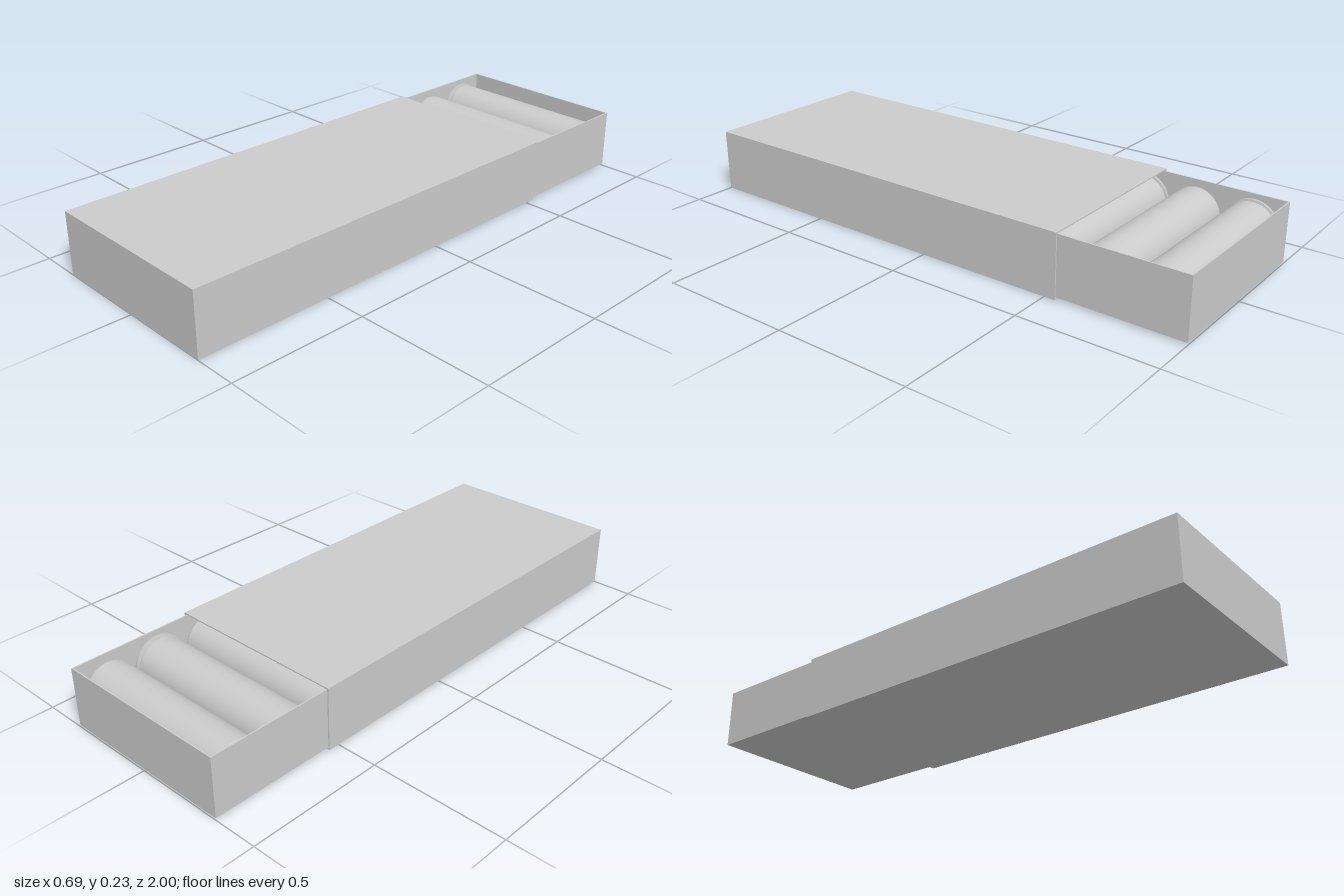
import * as THREE from 'three';

const material = new THREE.MeshStandardMaterial({ color: 0xcccccc, side: THREE.DoubleSide });

// Box given by its minimum and maximum corners
function slab(name, x0, x1, y0, y1, z0, z1) {
  const mesh = new THREE.Mesh(new THREE.BoxGeometry(x1 - x0, y1 - y0, z1 - z0), material);
  mesh.position.set((x0 + x1) / 2, (y0 + y1) / 2, (z0 + z1) / 2);
  mesh.name = name;
  return mesh;
}

// Lathe with sharp edges: each profile run gets its own smooth surface
function shell() {
  const group = new THREE.Group();
  const runs = {
    base: [[0, 0], [0.094, 0]],
    rimEdge: [[0.094, 0], [0.098, 0.003], [0.098, 0.012]],
    rimStep: [[0.098, 0.012], [0.09, 0.014]],
    groove: [[0.09, 0.014], [0.09, 0.02], [0.094, 0.023]],
    body: [[0.094, 0.023], [0.094, 0.642]],
    roundedEnd: [[0.094, 0.642], [0.093, 0.648], [0.089, 0.653], [0.082, 0.655]],
    endFace: [[0.082, 0.655], [0.02, 0.655]],
    endButton: [[0.02, 0.655], [0.018, 0.66], [0, 0.66]],
  };
  for (const [name, points] of Object.entries(runs)) {
    const geometry = new THREE.LatheGeometry(points.map(([r, y]) => new THREE.Vector2(r, y)), 40);
    geometry.translate(0, -0.33, 0).rotateZ(-Math.PI / 2);
    const mesh = new THREE.Mesh(geometry, material);
    mesh.name = name;
    group.add(mesh);
  }
  return group;
}

export function createModel() {
  const model = new THREE.Group();

  // Outer sleeve, open at the back
  const sleeve = new THREE.Group();
  sleeve.name = 'sleeve';
  const X = 0.345, H = 0.232, t = 0.005, back = -0.54;
  sleeve.add(
    slab('sleeveBottom', -X, X, 0, t, back, 1),
    slab('sleeveTop', -X, X, H - t, H, back, 1),
    slab('sleeveRightSide', -X, -X + t, t, H - t, back, 1),
    slab('sleeveLeftSide', X - t, X, t, H - t, back, 1),
    slab('sleeveFront', -X + t, X - t, t, H - t, 1 - t, 1),
  );

  // Sliding tray, open at the top, pulled partly out of the back
  const tray = new THREE.Group();
  tray.name = 'tray';
  const W = 0.338, y0 = 0.007, y1 = 0.225, z0 = -1, z1 = 0.48, w = 0.005;
  tray.add(
    slab('trayFloor', -W, W, y0, y0 + w, z0, z1),
    slab('trayRightSide', -W, -W + w, y0 + w, y1, z0, z1),
    slab('trayLeftSide', W - w, W, y0 + w, y1, z0, z1),
    slab('trayBack', -W + w, W - w, y0 + w, y1, z0, z0 + w),
    slab('trayFront', -W + w, W - w, y0 + w, y1, z1 - w, z1),
  );

  // Row of cylinders lying head to tail
  const shells = new THREE.Group();
  shells.name = 'cylinders';
  for (let i = 0; i < 7; i++) {
    const item = shell();
    item.name = 'cylinder' + (i + 1);
    item.position.set(0, 0.111, -0.882 + i * 0.206);
    if (i % 2) item.rotation.y = Math.PI;
    shells.add(item);
  }

  model.add(sleeve, tray, shells);
  return model;
}
